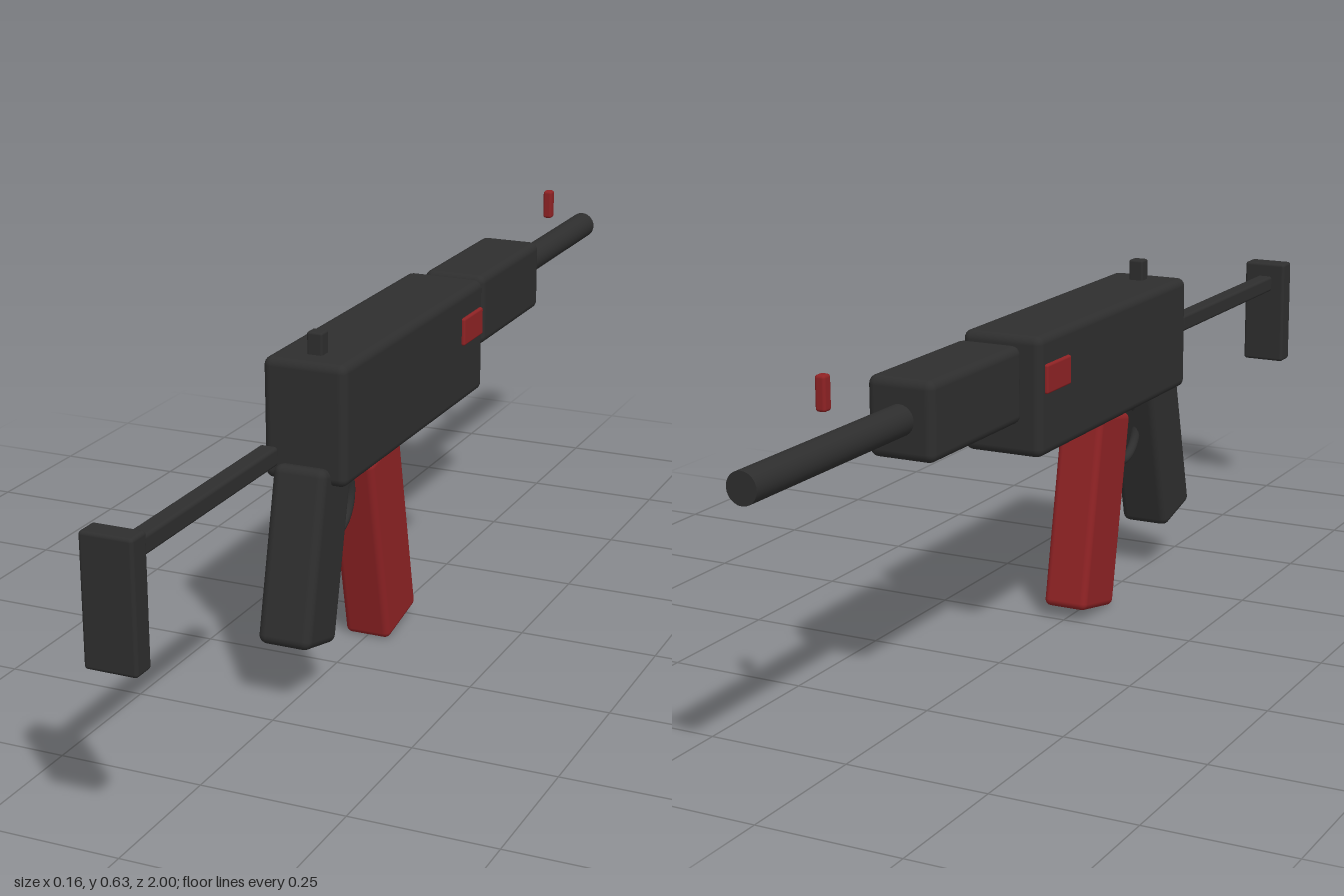
import * as THREE from 'three';
import { RoundedBoxGeometry } from 'three/addons/geometries/RoundedBoxGeometry.js';

const charcoal = new THREE.MeshStandardMaterial({ name: 'charcoal', color: 0x2e2e2e });
const red = new THREE.MeshStandardMaterial({ name: 'darkRed', color: 0x8e2224 });

export function createModel() {
  const model = new THREE.Group();
  model.name = 'toyBlaster';

  function add(name, geometry, material, y, z, tilt = 0) {
    const mesh = new THREE.Mesh(geometry, material);
    mesh.name = name;
    mesh.position.set(0, y, z);
    mesh.rotation.x = tilt;
    model.add(mesh);
    return mesh;
  }

  // Rounded block of size w (x), h (y), d (z)
  function block(name, material, [w, h, d], radius, y, z, tilt) {
    return add(name, new RoundedBoxGeometry(w, h, d, 3, radius), material, y, z, tilt);
  }

  // Body and front housing
  block('receiver', charcoal, [0.15, 0.21, 0.605], 0.015, 0.48, 0.067);
  block('handguard', charcoal, [0.12, 0.133, 0.3], 0.015, 0.512, -0.42);

  // Barrel runs along z
  const barrel = new THREE.CylinderGeometry(0.026, 0.026, 0.46, 24);
  barrel.rotateX(Math.PI / 2);
  add('barrel', barrel, charcoal, 0.512, -0.77);

  // Sights
  block('rearSight', charcoal, [0.028, 0.05, 0.026], 0.004, 0.598, 0.313);
  block('frontSight', red, [0.018, 0.056, 0.02], 0.005, 0.603, -0.785);

  // Side accents, one on each flank
  for (const side of [1, -1]) {
    const accent = block(side > 0 ? 'leftAccent' : 'rightAccent', red, [0.016, 0.051, 0.09], 0.004, 0.511, -0.175);
    accent.position.x = side * 0.073;
  }

  // Grip, magazine and trigger guard
  block('grip', charcoal, [0.096, 0.302, 0.115], 0.015, 0.252, 0.371, -0.24);
  block('magazine', red, [0.085, 0.362, 0.127], 0.012, 0.192, 0.097, 0.2);
  const ring = new THREE.TorusGeometry(0.059, 0.009, 12, 40);
  ring.rotateY(Math.PI / 2);
  add('triggerGuard', ring, charcoal, 0.306, 0.25);

  // Stock
  block('stockRod', charcoal, [0.032, 0.032, 0.48], 0.006, 0.466, 0.732);
  block('buttPlate', charcoal, [0.088, 0.212, 0.042], 0.006, 0.404, 0.979);

  return model;
}
